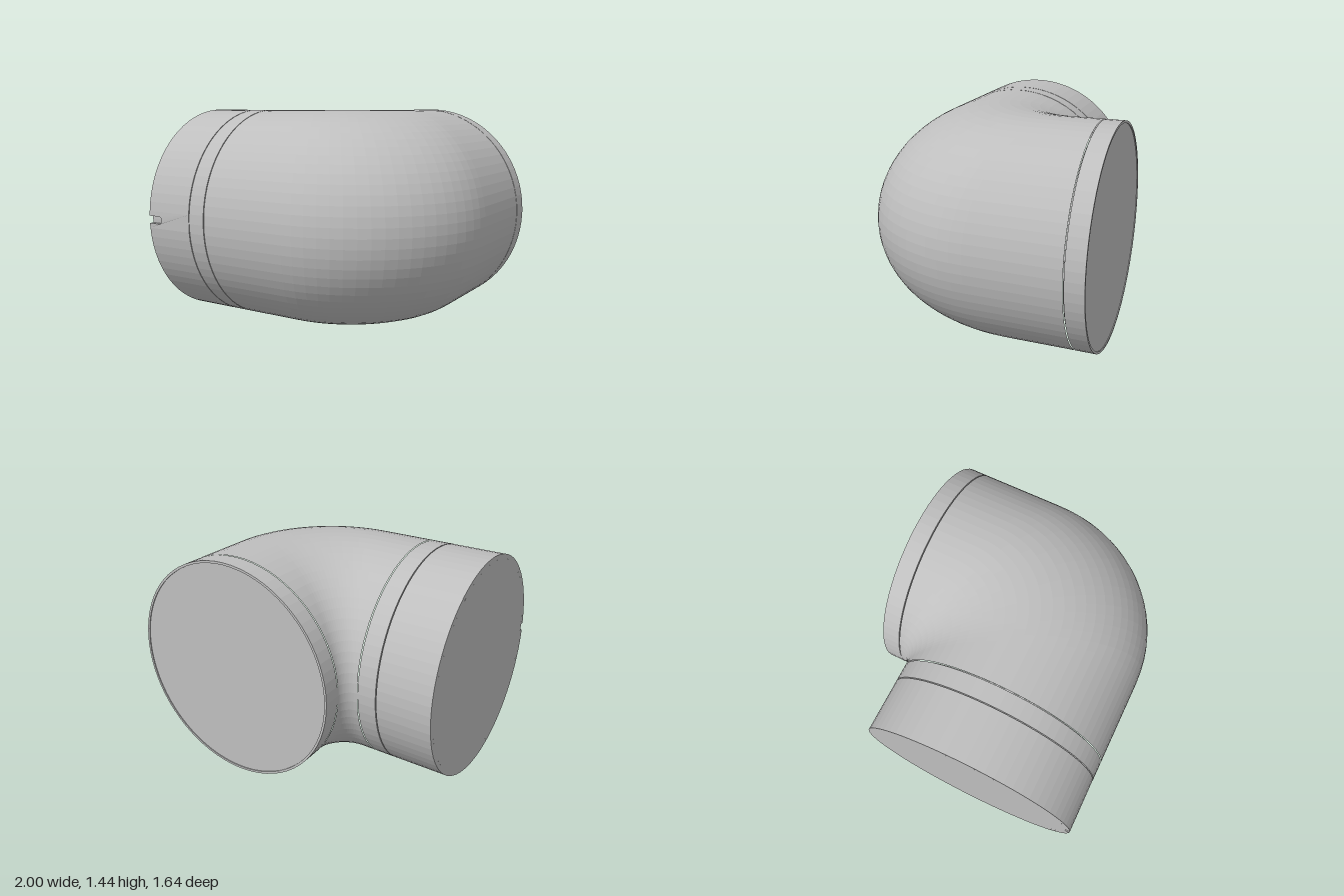
import * as THREE from 'three';

const R = 0.718, WALL = 0.03, CORE = R - WALL, SIDES = 72;
const AX = 0.28, AZ = 0.10;            // axis of the rear pipe (x) and of the side pipe (z)
const SIDE_END = -1, REAR_END = -0.82; // open ends of the elbow
const GAP = 0.003;                     // half width of a groove

export function createModel() {
  const model = new THREE.Group();
  model.name = 'pipeElbow';
  const grey = new THREE.MeshStandardMaterial({ color: 0xbebebe });
  grey.name = 'pipe grey';

  // Faceted mesh
  const add = (name, geometry, parent = model) => {
    const g = geometry.index ? geometry.toNonIndexed() : geometry;
    g.computeVertexNormals();
    const mesh = new THREE.Mesh(g, grey);
    mesh.name = name;
    parent.add(mesh);
    return mesh;
  };
  const lathe = (pts, start = 0, sweep = Math.PI * 2) =>
    new THREE.LatheGeometry(pts.map(p => new THREE.Vector2(...p)), SIDES, start, sweep);
  const band = (a, b, start, sweep) =>
    lathe([[CORE, a], [R, a], [R, b], [CORE, b]], start, sweep);
  const core = (a, b) => lathe([[0, a], [CORE, a], [CORE, b]]);
  const alongX = g => g.rotateZ(-Math.PI / 2).translate(0, R, AZ);
  const alongZ = g => g.rotateX(Math.PI / 2).translate(AX, R, 0);

  // Side pipe: end sleeve open at the slot, a narrow ring, and the closed core
  const a = 0.08;
  add('sideSleeve', alongX(band(SIDE_END, -0.645 - GAP, a, Math.PI * 2 - 2 * a)));
  add('sideRing', alongX(band(-0.645 + GAP, -0.52 - GAP)));
  add('sideCore', alongX(core(SIDE_END, -0.51)));

  // Sleeve panel with the round-ended slot, bent to the pipe
  const h = R * Math.sin(a), w = 0.025, xe = -0.645 - GAP;
  const s = new THREE.Shape();
  s.moveTo(SIDE_END, -h);
  s.lineTo(xe, -h);
  s.lineTo(xe, h);
  s.lineTo(SIDE_END, h);
  s.lineTo(SIDE_END, w);
  s.lineTo(-0.915, w);
  s.absarc(-0.915, 0, w, Math.PI / 2, -Math.PI / 2, true);
  s.lineTo(SIDE_END, -w);
  s.closePath();
  const panel = new THREE.ExtrudeGeometry(s, { depth: WALL, bevelEnabled: false, curveSegments: 10 });
  const pos = panel.attributes.position;
  for (let i = 0; i < pos.count; i++) {
    const y = pos.getY(i);
    pos.setZ(i, pos.getZ(i) + Math.sqrt(R * R - y * y) - WALL);
  }
  add('slottedPanel', panel.translate(0, R, AZ));

  // Rear pipe: thin-walled collar around a slightly recessed end
  const rim = R - 0.015;
  add('rearCollar', alongZ(lathe([
    [rim, REAR_END + 0.006], [rim, REAR_END], [R, REAR_END], [R, -0.70 - GAP], [CORE, -0.70 - GAP],
  ])));
  add('rearEnd', alongZ(lathe([[0, REAR_END + 0.006], [rim, REAR_END + 0.006]])));
  add('rearCore', alongZ(core(REAR_END + 0.01, -0.69)));

  // Bend: every rail is straight, arc, straight; the arc widens from inside to outside
  const STEPS = 18, verts = [], index = [];
  const rows = STEPS + 3, cols = SIDES + 1;
  for (let i = 0; i < rows; i++) {
    for (let j = 0; j < cols; j++) {
      const th = (j / SIDES) * Math.PI * 2;
      const d = R * Math.cos(th);
      const r = 0.084 + (0.92 - 0.084) * (d + R) / (2 * R);
      const t = THREE.MathUtils.clamp((i - 1) / STEPS, 0, 1) * Math.PI / 2;
      let x = AX + d - r + r * Math.sin(t);
      let z = AZ + d - r + r * Math.cos(t);
      if (i === 0) x = -0.52 + GAP;
      if (i === rows - 1) z = -0.70 + GAP;
      verts.push(x, R + R * Math.sin(th), z);
      if (i < rows - 1 && j < SIDES) {
        const p = i * cols + j, q = p + cols;
        index.push(p, q, p + 1, q, q + 1, p + 1);
      }
    }
  }
  const bend = new THREE.BufferGeometry();
  bend.setAttribute('position', new THREE.Float32BufferAttribute(verts, 3));
  bend.setIndex(index);
  add('bend', bend);

  return model;
}
